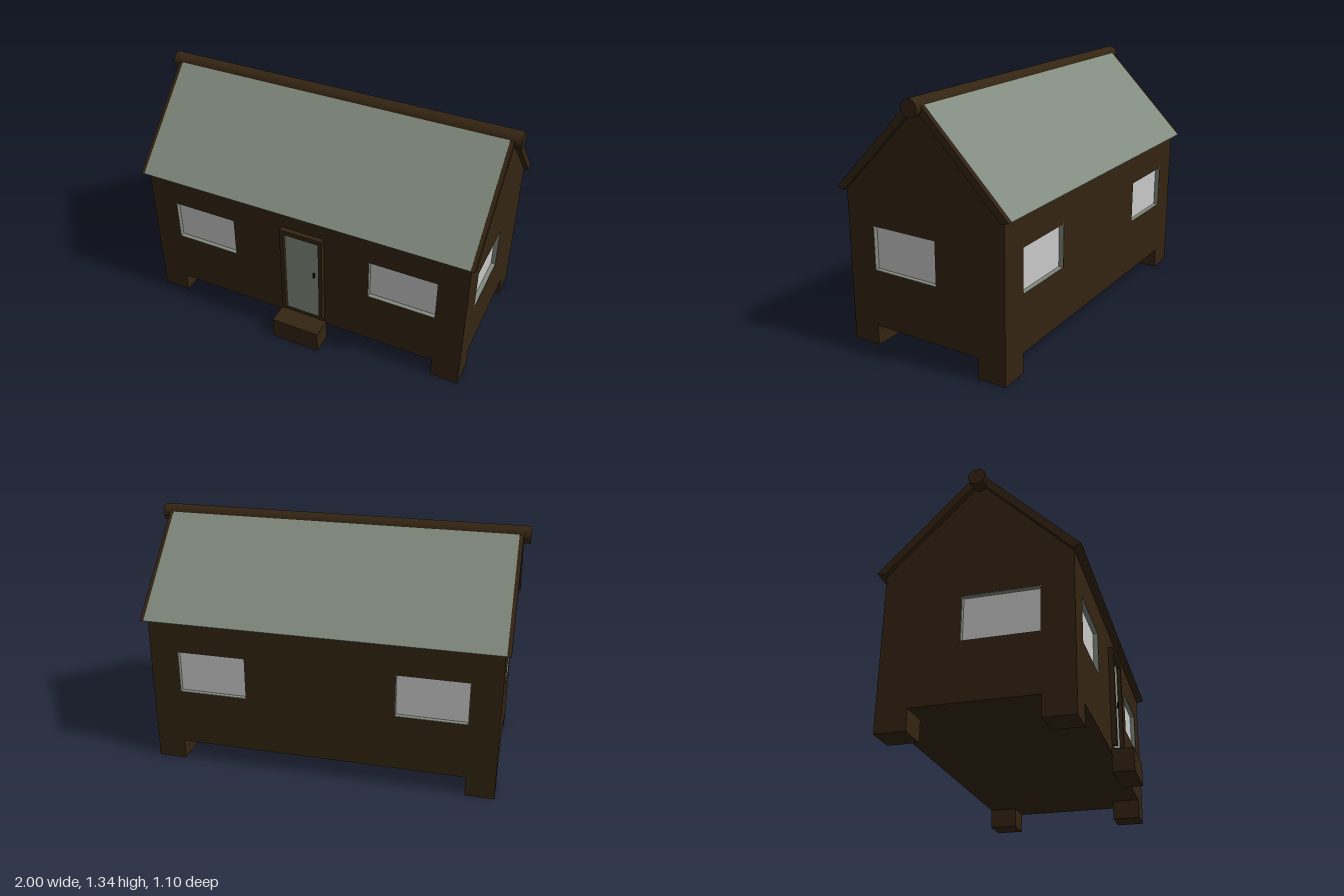
import * as THREE from 'three';

const CZ = -0.035;          // middle of the house in z
const HX = 0.9375, HZ = 0.47; // half length and half depth of the walls
const FLOOR = 0.11, EAVE = 0.82, RIDGE = 1.292;
const WALL = 0.045, RECESS = 0.025;
const SILL = 0.417, LINTEL = 0.655;

export function createModel() {
  const mat = (name, color) => {
    const m = new THREE.MeshStandardMaterial({ color });
    m.name = name;
    return m;
  };
  const timber = mat('darkTimber', 0x332412);
  const green = mat('greyGreenPaint', 0x828b7f);
  const glass = mat('paleGlass', 0xc8c8c8);
  const black = mat('blackMetal', 0x0c0a08);

  const house = new THREE.Group();
  house.name = 'cabin';

  const add = (parent, name, geometry, material) => {
    const mesh = new THREE.Mesh(geometry, material);
    mesh.name = name;
    parent.add(mesh);
    return mesh;
  };
  // Box given by its minimum and maximum corners
  const box = (parent, name, material, a, b) => {
    const mesh = add(parent, name, new THREE.BoxGeometry(b[0] - a[0], b[1] - a[1], b[2] - a[2]), material);
    mesh.position.set((a[0] + b[0]) / 2, (a[1] + b[1]) / 2, (a[2] + b[2]) / 2);
    return mesh;
  };
  const poly = (points) => points.map(([x, y]) => new THREE.Vector2(x, y));
  const rect = (x0, x1, y0, y1) => poly([[x0, y0], [x1, y0], [x1, y1], [x0, y1]]);
  const extrude = (outline, holes, depth) => {
    const shape = new THREE.Shape(outline);
    holes.forEach((h) => shape.holes.push(new THREE.Path(h)));
    return new THREE.ExtrudeGeometry(shape, { depth, bevelEnabled: false });
  };

  // A wall facing local +z with its outer face at z = 0, and recessed windows
  const buildWall = (name, outline, windows) => {
    const wall = new THREE.Group();
    wall.name = name;
    const holes = windows.map(([a, b]) => rect(a, b, SILL, LINTEL));
    add(wall, name + 'Boards', extrude(outline, holes, WALL).translate(0, 0, -WALL), timber);
    for (const [a, b] of windows) {
      const t = 0.003;
      const lining = extrude(rect(a, b, SILL, LINTEL), [rect(a + t, b - t, SILL + t, LINTEL - t)], RECESS);
      add(wall, 'windowLining', lining.translate(0, 0, -RECESS - 0.001), green);
      box(wall, 'windowPane', glass, [a, SILL, -RECESS - 0.008], [b, LINTEL, -RECESS]);
    }
    house.add(wall);
    return wall;
  };

  // Long walls at front and back
  const longOutline = rect(-HX + WALL, HX - WALL, FLOOR, EAVE);
  const longWindows = [[-0.782, -0.405], [0.4, 0.78]];
  buildWall('frontWall', longOutline, longWindows).position.z = CZ + HZ;
  const back = buildWall('backWall', longOutline, longWindows);
  back.rotation.y = Math.PI;
  back.position.z = CZ - HZ;

  // Gable walls at both ends
  const gable = poly([[-HZ, FLOOR], [HZ, FLOOR], [HZ, EAVE], [0, EAVE + HZ], [-HZ, EAVE]]);
  for (const s of [1, -1]) {
    const near = s * (CZ - 0.275), far = s * (CZ + 0.11);
    const wall = buildWall(s > 0 ? 'leftGableWall' : 'rightGableWall', gable,
      [[Math.min(near, far), Math.max(near, far)]]);
    wall.rotation.y = s * Math.PI / 2;
    wall.position.set(s * HX, 0, CZ);
  }

  // Floor and corner feet
  box(house, 'floor', timber, [-HX + WALL, FLOOR, CZ - HZ + WALL], [HX - WALL, FLOOR + 0.03, CZ + HZ - WALL]);
  for (const sx of [1, -1]) {
    for (const sz of [1, -1]) {
      const foot = add(house, 'cornerFoot', new THREE.BoxGeometry(0.155, FLOOR, 0.158), timber);
      foot.position.set(sx * (HX - 0.0775), FLOOR / 2, CZ + sz * (HZ - 0.079));
    }
  }

  // Roof: a folded slab with painted panels on both slopes
  const alongX = (name, points, halfLength, material) => {
    const mesh = add(house, name, extrude(poly(points), [], 2 * halfLength).translate(0, 0, -halfLength), material);
    mesh.rotation.y = Math.PI / 2;
    mesh.position.z = CZ;
  };
  const half = [[0.03, 1.313], [0.511, 0.832], [0.468, 0.82], [0, 1.288]];
  const mirrored = half.slice(0, 3).reverse().map(([x, y]) => [-x, y]);
  alongX('roofSlab', [...half, ...mirrored], 0.963, timber);
  for (const s of [1, -1]) {
    alongX('roofPanel', [[0.03, 1.313], [0.03, 1.316], [0.511, 0.835], [0.511, 0.832]].map(([x, y]) => [s * x, y]),
      0.942, green);
  }

  // Round ridge log
  const log = add(house, 'ridgeLog', new THREE.CylinderGeometry(0.045, 0.045, 2, 32), timber);
  log.rotation.z = Math.PI / 2;
  log.position.set(0, RIDGE, CZ);

  // Door with frame, handle and step
  const front = CZ + HZ;
  const frame = extrude(poly([[-0.107, 0.152], [-0.085, 0.152], [-0.085, 0.69], [0.122, 0.69],
    [0.122, 0.152], [0.144, 0.152], [0.144, 0.717], [-0.107, 0.717]]), [], 0.03);
  add(house, 'doorFrame', frame, timber).position.z = front - 0.002;
  box(house, 'door', green, [-0.085, 0.152, front - 0.01], [0.122, 0.69, front + 0.006]);
  box(house, 'doorHandle', black, [0.082, 0.435, front], [0.092, 0.467, front + 0.014]);
  box(house, 'doorStep', timber, [-0.125, 0, front], [0.155, 0.126, 0.55]);

  return house;
}
